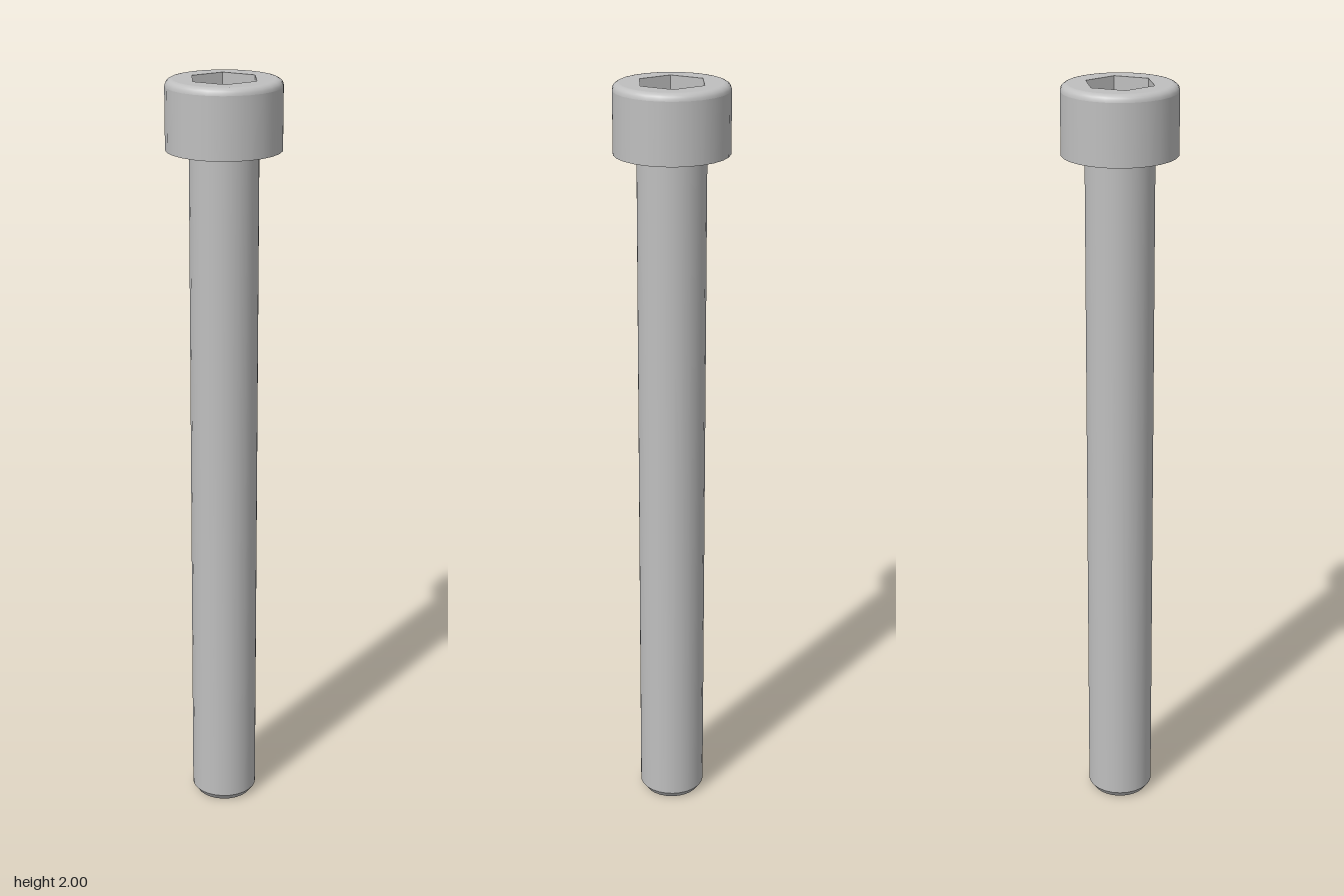
import * as THREE from 'three';

const SIDES = 26;
const HEAD_R = 0.147, SHANK_R = 0.088, HEX_R = 0.09;
const TOP = 2, HEAD_BOTTOM = 1.825, SOCKET_FLOOR = 1.91;

const steel = new THREE.MeshStandardMaterial({ color: 0xbfbfbf });
steel.name = 'steel grey';

// Revolve one smooth run of [radius, height] points; a corner lies on +x
function revolve(name, points, sides = SIDES, flat = false) {
  const profile = points.map(([r, y]) => new THREE.Vector2(r, y));
  let geometry = new THREE.LatheGeometry(profile, sides, Math.PI / 2);
  if (flat) {
    geometry = geometry.toNonIndexed();
    geometry.computeVertexNormals();
  }
  const mesh = new THREE.Mesh(geometry, steel);
  mesh.name = name;
  return mesh;
}

// Points of a quarter arc (or any arc) in the profile plane
function arc(cx, cy, radius, from, to, steps = 5) {
  return Array.from({ length: steps + 1 }, (_, i) => {
    const a = from + (to - from) * i / steps;
    return [cx + radius * Math.cos(a), cy + radius * Math.sin(a)];
  });
}

function polygon(path, radius, sides) {
  const points = Array.from({ length: sides }, (_, i) => {
    const a = i / sides * Math.PI * 2;
    return new THREE.Vector2(radius * Math.cos(a), radius * Math.sin(a));
  });
  return path.setFromPoints(points);
}

export function createModel() {
  const bolt = new THREE.Group();
  bolt.name = 'socketHeadBolt';

  // Shank: flat tip, chamfer, long barrel, small fillet under the head
  const fillet = 0.01;
  bolt.add(
    revolve('shankTip', [[0, 0], [0.075, 0]]),
    revolve('shankChamfer', [[0.075, 0], [SHANK_R, 0.018]]),
    revolve('shankBarrel', [[SHANK_R, 0.018], [SHANK_R, HEAD_BOTTOM - fillet]]),
    revolve('shankFillet', arc(SHANK_R + fillet, HEAD_BOTTOM - fillet, fillet, Math.PI, Math.PI / 2, 4)),
  );

  // Head: underside, wall and rounded upper rim
  const round = 0.018;
  bolt.add(
    revolve('headUnderside', [[SHANK_R + fillet, HEAD_BOTTOM], [HEAD_R, HEAD_BOTTOM]]),
    revolve('headWall', [[HEAD_R, HEAD_BOTTOM], [HEAD_R, TOP - round]]),
    revolve('headRim', arc(HEAD_R - round, TOP - round, round, 0, Math.PI / 2)),
  );

  // Top face with a hexagonal opening
  const face = polygon(new THREE.Shape(), HEAD_R - round, SIDES);
  face.holes.push(polygon(new THREE.Path(), HEX_R, 6));
  const top = new THREE.Mesh(new THREE.ShapeGeometry(face).rotateX(-Math.PI / 2), steel);
  top.name = 'headTop';
  top.position.y = TOP;
  bolt.add(top);

  // Hexagonal socket: inward walls and floor
  bolt.add(revolve('hexSocket', [[HEX_R, TOP], [HEX_R, SOCKET_FLOOR], [0, SOCKET_FLOOR]], 6, true));

  return bolt;
}
